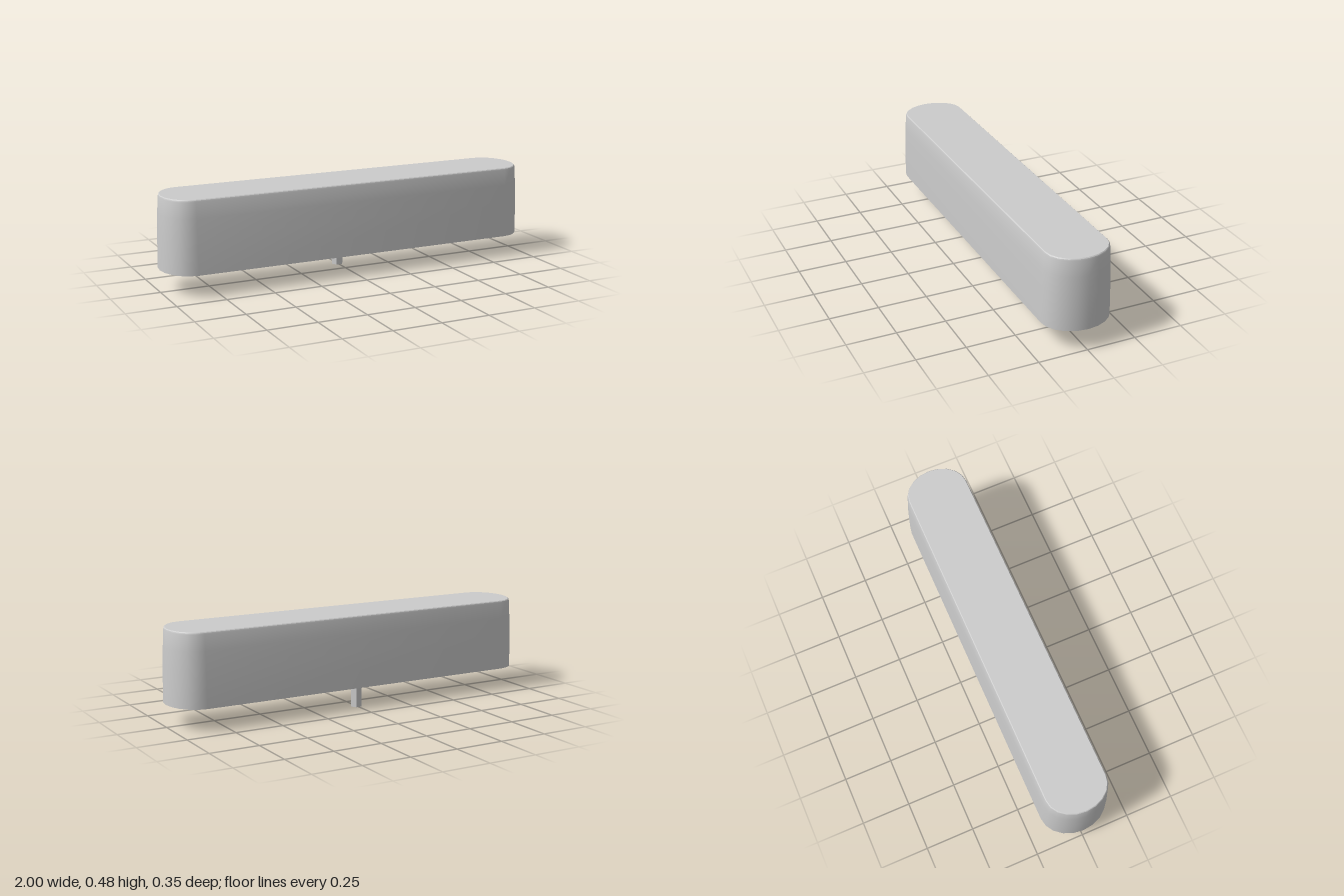
import * as THREE from 'three';
import { toCreasedNormals } from 'three/addons/utils/BufferGeometryUtils.js';

const material = new THREE.MeshStandardMaterial({ color: 0xcccccc });

// Bar outline: straight sides closed by half-ellipse ends, pulled in by inset
function outline(inset, segments = 10) {
  const points = [];
  for (const side of [1, -1]) {
    for (let i = 0; i <= segments; i++) {
      const a = -Math.PI / 2 + (Math.PI * i) / segments;
      points.push([
        side * (0.86 + (0.14 - inset) * Math.cos(a)),
        side * (0.173 - inset) * Math.sin(a),
      ]);
    }
  }
  return points;
}

// Stack outlines at [height, inset] levels and close both ends
function loftBar(levels) {
  const positions = [], indices = [];
  const n = outline(0).length;
  for (const [y, inset] of levels) {
    for (const [x, z] of outline(inset)) positions.push(x, y, z);
  }
  const top = (levels.length - 1) * n;
  const bottomCentre = positions.length / 3, topCentre = bottomCentre + 1;
  positions.push(0, levels[0][0], 0, 0, levels[levels.length - 1][0], 0);
  for (let j = 0; j < n; j++) {
    const k = (j + 1) % n;
    for (let r = 0; r < top; r += n) {
      indices.push(r + j, r + n + j, r + k, r + k, r + n + j, r + n + k);
    }
    indices.push(bottomCentre, j, k, topCentre, top + k, top + j);
  }
  const geometry = new THREE.BufferGeometry();
  geometry.setAttribute('position', new THREE.Float32BufferAttribute(positions, 3));
  geometry.setIndex(indices);
  return toCreasedNormals(geometry, 0.5);
}

export function createModel() {
  const model = new THREE.Group();
  model.name = 'barCap';

  // Tapered bar with a small bevel around its top
  const body = new THREE.Mesh(
    loftBar([[0.112, 0], [0.3, 0.003], [0.39, 0.007], [0.47, 0.012], [0.477, 0.014], [0.481, 0.018]]),
    material
  );
  body.name = 'body';
  model.add(body);

  // Short hexagonal peg under the rear half
  const pegGeometry = new THREE.CylinderGeometry(0.031, 0.031, 0.122, 6);
  pegGeometry.rotateY(Math.PI / 6);
  const peg = new THREE.Mesh(toCreasedNormals(pegGeometry, 0.5), material);
  peg.name = 'peg';
  peg.position.set(0, 0.061, -0.1);
  model.add(peg);

  return model;
}
